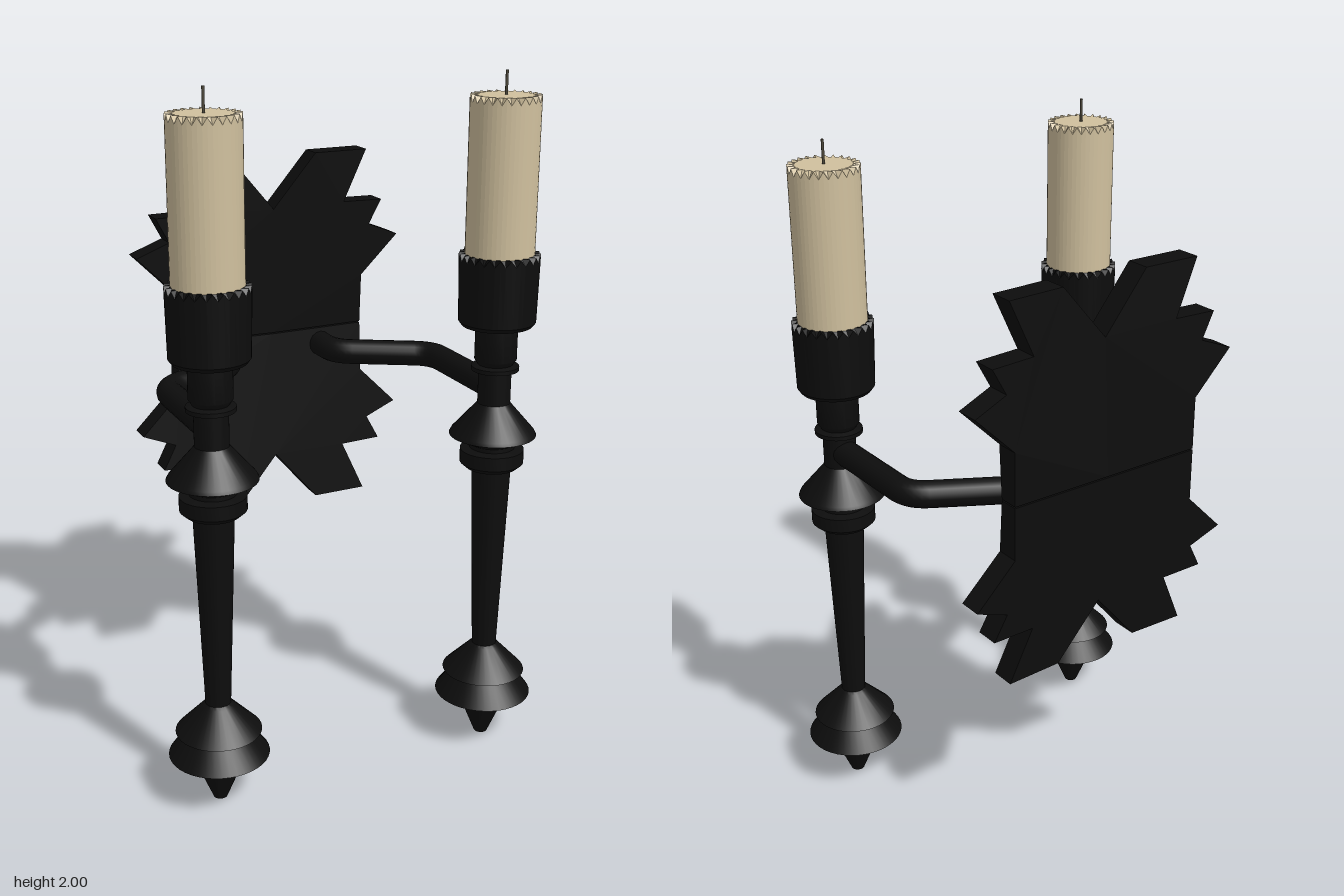
import * as THREE from 'three';
import { toCreasedNormals } from 'three/addons/utils/BufferGeometryUtils.js';

const V2 = (p) => new THREE.Vector2(p[0], p[1]);
const V3 = (x, z) => new THREE.Vector3(x, 1.113, z);
const POST_X = 0.43, POST_Z = 0.265, MID_Y = 1.165;

// Lathe whose ring `rim` is notched on every second vertex
function notchedLathe(profile, rim, depth) {
  const n = 48;
  const geo = new THREE.LatheGeometry(profile.map(V2), n);
  const pos = geo.attributes.position;
  for (let i = 1; i <= n; i += 2) {
    const k = i * profile.length + rim;
    pos.setY(k, pos.getY(k) - depth);
  }
  const flat = geo.toNonIndexed();
  flat.computeVertexNormals();
  return flat;
}

// One spiky quarter of the wall plate, tilted forward away from the middle
function platePanel(sx, sy) {
  const outline = [[0, 0.002], [0.305, 0.002], [0.305, 0.155], [0.425, 0.275], [0.325, 0.315],
    [0.365, 0.39], [0.235, 0.393], [0.305, 0.55], [0.135, 0.55], [0, 0.39]];
  const shape = new THREE.Shape(outline.map(([x, y]) => new THREE.Vector2(x * sx, y * sy)));
  const geo = new THREE.ExtrudeGeometry(shape, { depth: 0.07, bevelEnabled: false });
  const pos = geo.attributes.position;
  for (let i = 0; i < pos.count; i++) {
    const lean = 0.064 * Math.abs(pos.getY(i)) - 0.035 * Math.abs(pos.getX(i));
    pos.setZ(i, Math.max(pos.getZ(i) - 0.415 + lean, -0.414));
  }
  geo.translate(0, MID_Y, 0);
  geo.computeVertexNormals();
  return geo;
}

// Bent arm from the plate to a post, with rounded elbows
function armGeometry(s) {
  const path = new THREE.CurvePath();
  const a = V3(s * 0.167, -0.36), b = V3(s * 0.167, -0.305), c = V3(s * 0.167, -0.252);
  const d = V3(s * 0.212, -0.225), e = V3(s * 0.385, -0.127), f = V3(s * POST_X, -0.1);
  const g = V3(s * POST_X, -0.05), h = V3(s * POST_X, POST_Z);
  path.add(new THREE.LineCurve3(a, b));
  path.add(new THREE.QuadraticBezierCurve3(b, c, d));
  path.add(new THREE.LineCurve3(d, e));
  path.add(new THREE.QuadraticBezierCurve3(e, f, g));
  path.add(new THREE.LineCurve3(g, h));
  return new THREE.TubeGeometry(path, 48, 0.038, 16);
}

export function createModel() {
  const make = (name, hex) => {
    const m = new THREE.MeshStandardMaterial({ color: hex });
    m.name = name;
    return m;
  };
  const iron = make('blackIron', 0x0d0d0d);
  const wax = make('creamWax', 0xd0c09e);
  const wickMat = make('wick', 0x4a4538);

  const model = new THREE.Group();
  model.name = 'wallCandleHolder';
  const add = (parent, name, geo, mat) => {
    const mesh = new THREE.Mesh(geo, mat);
    mesh.name = name;
    parent.add(mesh);
    return mesh;
  };

  // Wall plate
  const plate = new THREE.Group();
  plate.name = 'wallPlate';
  model.add(plate);
  for (const sx of [-1, 1]) for (const sy of [-1, 1]) {
    add(plate, 'platePanel', platePanel(sx, sy), iron);
  }

  // Turned post: pointed foot, tapered shaft, collars and neck
  const postGeo = toCreasedNormals(new THREE.LatheGeometry([
    [0, 0], [0.02, 0], [0.08, 0.145], [0.143, 0.145], [0.092, 0.215], [0.122, 0.218],
    [0.045, 0.298], [0.036, 0.305], [0.057, 0.875], [0.075, 0.875], [0.092, 0.89], [0.092, 0.93],
    [0.065, 0.935], [0.065, 0.947], [0.125, 0.975], [0.12, 0.985], [0.055, 1.06], [0.047, 1.07],
    [0.047, 1.165], [0.068, 1.168], [0.068, 1.18], [0.05, 1.185], [0.06, 1.2], [0.06, 1.3], [0, 1.3],
  ].map(V2), 40), 0.6);

  // Cup and candle with notched rims
  const cupGeo = notchedLathe([[0, 1.3], [0.1, 1.3], [0.109, 1.312], [0.113, 1.505], [0.095, 1.505]], 3, 0.018);
  const candleGeo = notchedLathe([[0.097, 1.45], [0.097, 1.937], [0.077, 1.935], [0, 1.935]], 1, 0.02);
  const wickGeo = new THREE.CylinderGeometry(0.004, 0.004, 0.07, 8).translate(0, 1.965, 0);

  // Left and right candle holders
  for (const s of [-1, 1]) {
    const holder = new THREE.Group();
    holder.name = s > 0 ? 'leftHolder' : 'rightHolder';
    holder.position.set(s * POST_X, 0, POST_Z);
    add(holder, 'post', postGeo, iron);
    add(holder, 'cup', cupGeo, iron);
    add(holder, 'candle', candleGeo, wax);
    add(holder, 'wick', wickGeo, wickMat);
    model.add(holder);
    add(model, s > 0 ? 'leftArm' : 'rightArm', armGeometry(s), iron);
  }
  return model;
}
